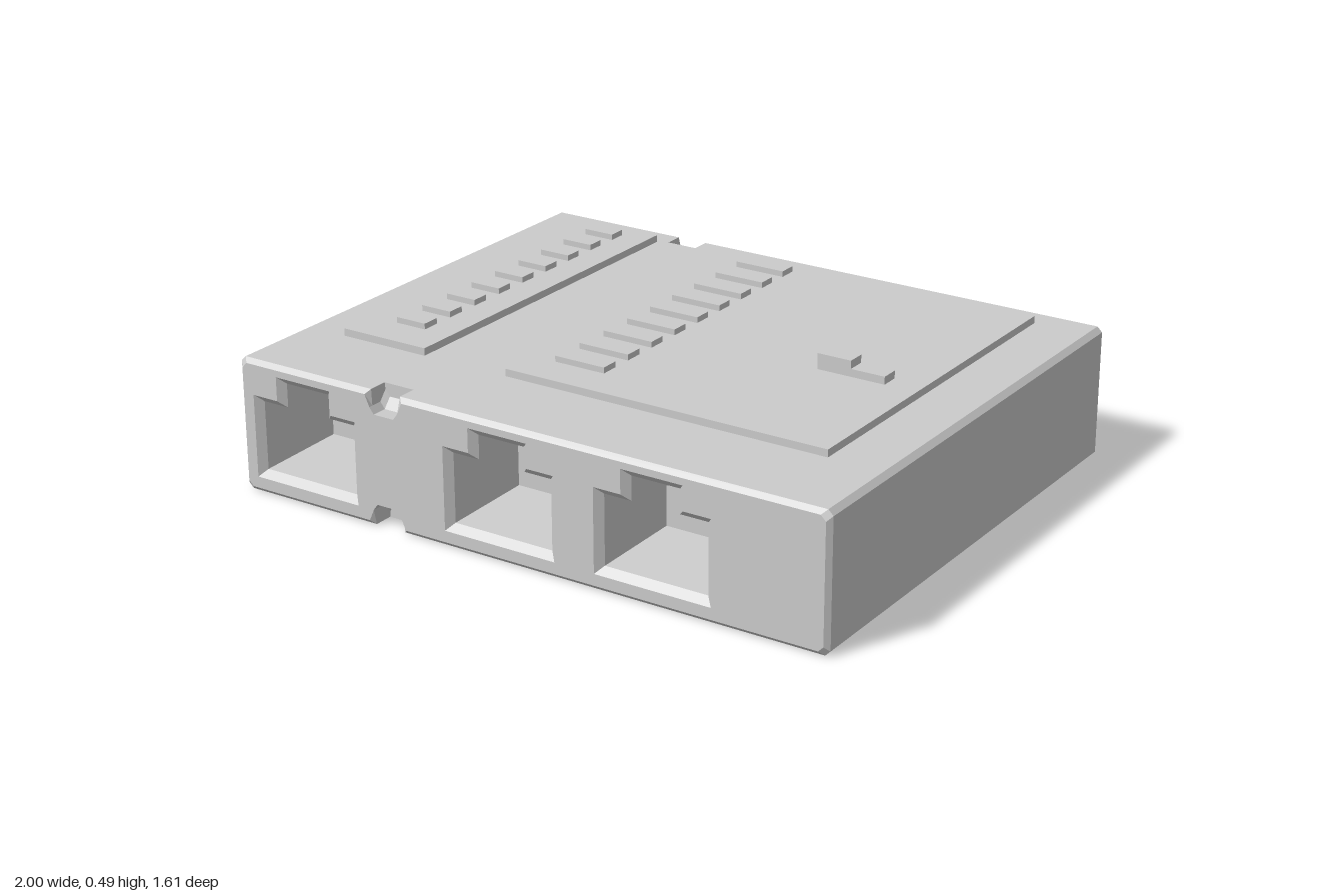
import * as THREE from 'three';

const H = 0.42, D = 0.807, CUT = 0.016;
const NOTCH_X = -0.464;

// Cross-section of the case: chamfered rectangle, notched at top and bottom
function caseRing(z, inset, depth) {
  const w = 1 - inset, h = H / 2 - inset, c = CUT;
  const edge = [];
  // lower edge profile, relative to the middle height
  const wide = 0.052 + (depth > 0 ? inset : 0);
  const low = -h, mid = Math.max(low, -H / 2 + depth - 0.02), top = Math.max(low, -H / 2 + depth);
  edge.push([-wide, low], [-0.05, mid], [-0.035, top], [0.035, top], [0.05, mid], [wide, low]);
  const bottom = edge.map(([x, y]) => [NOTCH_X + x, y]);
  const upper = bottom.map(([x, y]) => [x, -y]).reverse();
  return [
    [-w, -h + c], [-w + c, -h], ...bottom, [w - c, -h], [w, -h + c],
    [w, h - c], [w - c, h], ...upper, [-w + c, h], [-w, h - c],
  ].map(([x, y]) => new THREE.Vector3(x, y + H / 2, z));
}

// Stepped socket outline around centre cx
function portRing(cx, z, e) {
  const w = 0.19 - e, t = 0.1 - e, b = 0.05 + e, s = 0.31 - e, top = 0.385 - e;
  return [[-w, b], [w, b], [w, s], [t, s], [t, top], [-t, top], [-t, s], [-w, s]]
    .map(([x, y]) => new THREE.Vector3(cx + x, y, z));
}

// Skin between successive rings
function loft(out, rings) {
  for (let i = 0; i < rings.length - 1; i++) {
    const r = rings[i], q = rings[i + 1], n = r.length;
    for (let j = 0; j < n; j++) {
      const k = (j + 1) % n;
      out.push(r[j], r[k], q[k], r[j], q[k], q[j]);
    }
  }
}

// Flat cap with optional holes
function cap(out, ring, holes = [], flip = false) {
  const all = [ring, ...holes].flat();
  const flat = (r) => r.map((p) => new THREE.Vector2(p.x, p.y));
  for (const [a, b, c] of THREE.ShapeUtils.triangulateShape(flat(ring), holes.map(flat))) {
    if (flip) out.push(all[a], all[c], all[b]);
    else out.push(all[a], all[b], all[c]);
  }
}

export function createModel() {
  const group = new THREE.Group();
  const material = new THREE.MeshStandardMaterial({ color: 0xcccccc, flatShading: true });

  function add(name, geometry, parent = group) {
    const mesh = new THREE.Mesh(geometry, material);
    mesh.name = name;
    parent.add(mesh);
    return mesh;
  }
  function skin(name, points) {
    const g = new THREE.BufferGeometry().setFromPoints(points);
    g.computeVertexNormals();
    add(name, g);
  }
  // Box given by its limits
  function block(name, x0, x1, y0, y1, z0, z1, parent) {
    add(name, new THREE.BoxGeometry(x1 - x0, y1 - y0, z1 - z0), parent)
      .position.set((x0 + x1) / 2, (y0 + y1) / 2, (z0 + z1) / 2);
  }

  // Case: rings as [distance from end, inset, notch depth], mirrored front to back
  const half = [[0, 0.014, 0.07], [0.014, 0, 0.07], [0.05, 0, 0.07], [0.075, 0, 0.04], [0.075, 0, 0]];
  const rings = [
    ...half.map(([d, i, n]) => caseRing(-D + d, i, n)),
    ...half.map(([d, i, n]) => caseRing(D - d, i, n)).reverse(),
  ];
  const ports = [-0.76, -0.066, 0.447];
  const body = [];
  loft(body, rings);
  cap(body, rings[0], [], true);
  cap(body, rings[rings.length - 1], ports.map((x) => portRing(x, D, 0)));
  skin('case', body);

  // Sockets with bevelled rims
  for (const x of ports) {
    const socket = [];
    const steps = [[0, 0], [0.022, 0.022], [0.3, 0.04]].map(([d, e]) => portRing(x, D - d, e));
    loft(socket, steps);
    cap(socket, steps[2]);
    skin('socket', socket);
  }

  // Raised panels, each with a column of indicator lights
  const panelTop = 0.443;
  const panels = [
    { name: 'narrowPanel', x: [-0.85, -0.55], light: [-0.75, -0.645] },
    { name: 'widePanel', x: [-0.257, 0.813], light: [-0.17, 0] },
  ];
  for (const { name, x, light } of panels) {
    block(name, x[0], x[1], H - 0.01, panelTop, -0.715, 0.505);
    const column = new THREE.Group();
    column.name = name + 'Lights';
    group.add(column);
    for (let i = 0; i < 9; i++) {
      const z = 0.352 - 0.1222 * i;
      block('indicatorLight', light[0], light[1], panelTop - 0.005, 0.461, z - 0.029, z + 0.029, column);
    }
  }

  // Slide switch
  block('switchBase', 0.6, 0.71, panelTop - 0.005, 0.467, -0.041, 0.017);
  block('switchKnob', 0.49, 0.6, panelTop - 0.005, 0.492, -0.041, 0.017);

  return group;
}
